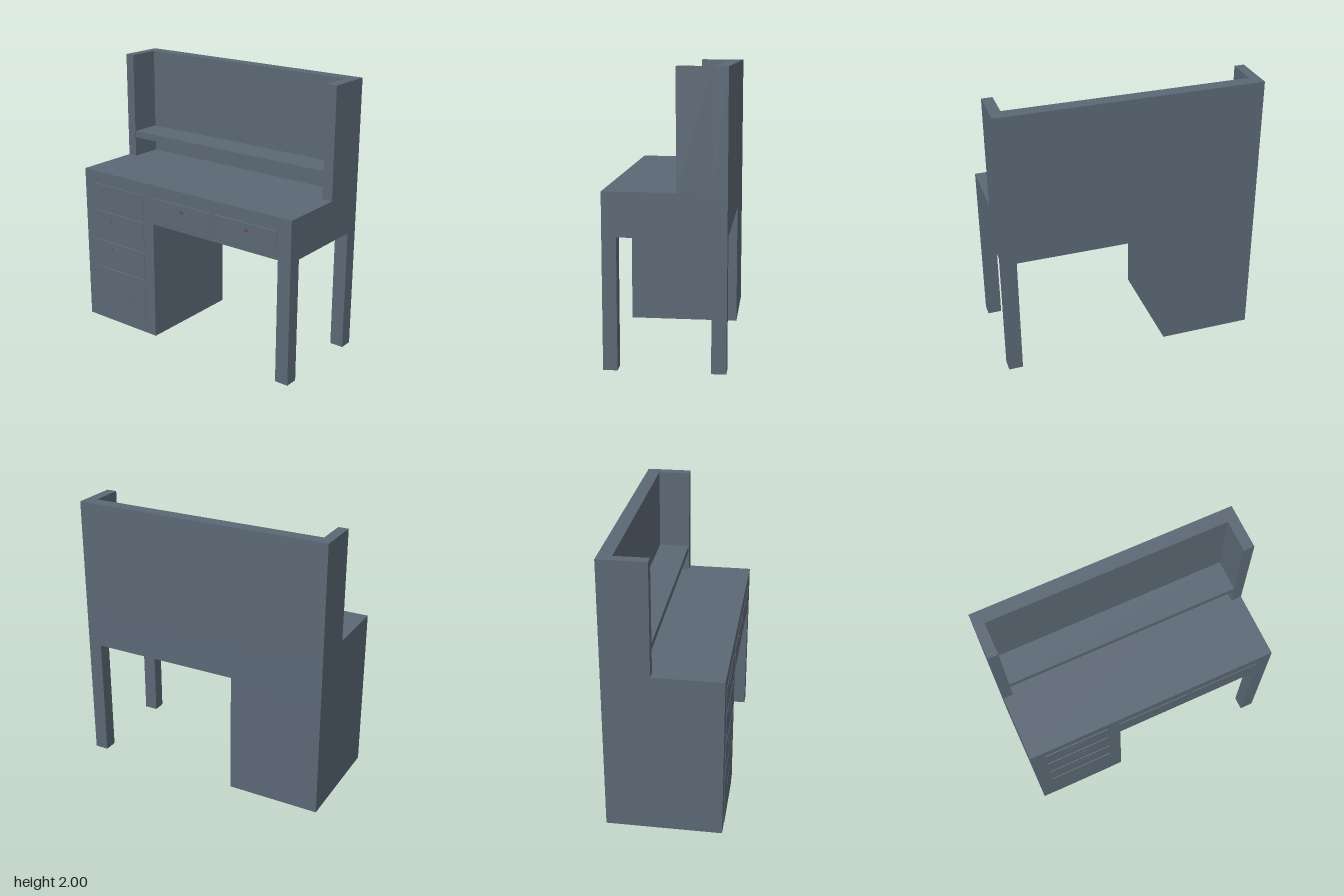
import * as THREE from 'three';

const paint = new THREE.MeshStandardMaterial({ color: 0x5b6875 });
const brass = new THREE.MeshStandardMaterial({ color: 0x7a4a35 });

// Box given by its limits on each axis
function box(name, [x0, x1], [y0, y1], [z0, z1]) {
  const mesh = new THREE.Mesh(new THREE.BoxGeometry(x1 - x0, y1 - y0, z1 - z0), paint);
  mesh.position.set((x0 + x1) / 2, (y0 + y1) / 2, (z0 + z1) / 2);
  mesh.name = name;
  return mesh;
}

const LEFT = -0.942, RIGHT = 0.942, BACK = -0.412, FRONT = 0.407, FACE = 0.411;

// Drawer front whose outer face is drawn in to give a bevelled rim
function drawerFront(xs, ys) {
  const mesh = box('drawerFront', xs, ys, [FRONT - 0.01, FACE]);
  const p = mesh.geometry.attributes.position;
  for (let i = 0; i < p.count; i++) {
    if (p.getZ(i) > 0) {
      p.setX(i, p.getX(i) - Math.sign(p.getX(i)) * 0.008);
      p.setY(i, p.getY(i) - Math.sign(p.getY(i)) * 0.008);
    }
  }
  mesh.geometry = mesh.geometry.toNonIndexed();
  mesh.geometry.computeVertexNormals();
  return mesh;
}

// Shallow pull: a bar with two upturned ends
function pull(y0, barTop, y1) {
  const g = new THREE.Group();
  g.name = 'drawerPull';
  const z = [FACE - 0.004, FACE + 0.002];
  g.add(box('pullBar', [-0.682, -0.515], [y0, barTop], z));
  for (const x of [-0.682, -0.519]) g.add(box('pullEnd', [x, x + 0.004], [barTop, y1], z));
  return g;
}

export function createModel() {
  const desk = new THREE.Group();
  desk.name = 'deskWithHutch';

  // Desk body, drawer pedestal and the two legs
  desk.add(box('deskTop', [LEFT, RIGHT], [0.9, 1.2], [BACK, FRONT]));
  desk.add(box('pedestal', [LEFT, -0.26], [0, 0.9], [BACK, FRONT]));
  desk.add(box('frontLeg', [0.84, RIGHT], [0, 0.9], [0.31, FRONT]));
  desk.add(box('backLeg', [0.84, RIGHT], [0, 0.9], [BACK, -0.312]));

  // Hutch
  desk.add(box('hutchBack', [LEFT, RIGHT], [1.2, 2], [BACK, -0.315]));
  desk.add(box('hutchSide', [LEFT, -0.87], [1.2, 2], [-0.315, -0.08]));
  desk.add(box('hutchSide', [0.865, RIGHT], [1.2, 2], [-0.315, -0.08]));
  desk.add(box('hutchShelf', [-0.87, 0.865], [1.35, 1.4], [-0.315, -0.085]));

  // Pedestal drawers: bottom, top, then pull bottom, bar top, pull top
  const drawers = [
    [0.92, 1.11, 1.034, 1.049, 1.07],
    [0.673, 0.898, 0.8, 0.815, 0.838],
    [0.446, 0.66, 0.573, 0.588, 0.612],
    [0.004, 0.439, 0.22, 0.266, 0.29],
  ];
  for (const [y0, y1, ...p] of drawers) {
    desk.add(drawerFront([-0.845, -0.347], [y0, y1]), pull(...p));
  }

  // Drawers over the knee space, with knobs
  for (const [x0, x1, kx] of [[-0.26, 0.285, 0.012], [0.305, 0.838, 0.58]]) {
    desk.add(drawerFront([x0, x1], [0.92, 1.11]));
    const knob = new THREE.Mesh(new THREE.CylinderGeometry(0.013, 0.013, 0.008, 16), brass);
    knob.rotation.x = Math.PI / 2;
    knob.position.set(kx, 1.05, FACE);
    knob.name = 'drawerKnob';
    desk.add(knob);
  }
  return desk;
}
